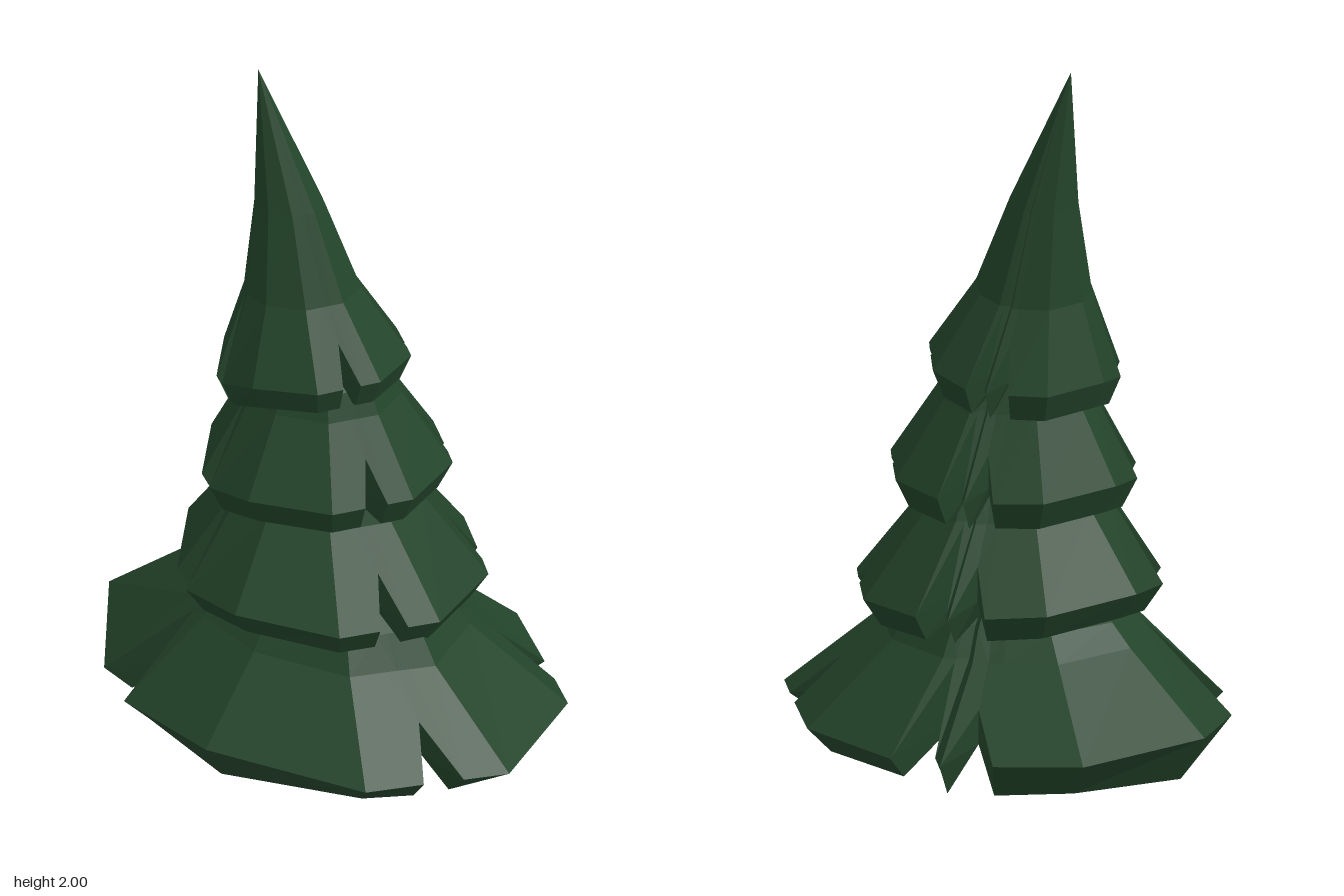
import * as THREE from 'three';

// Rim outline seen from above, [x, z]; a third value marks a notch:
// 0 = cut right up to the shoulder, 1 = no cut
const outline = [
  [-0.26, -0.535], [0.12, -0.57], [0.34, -0.475], [0.38, -0.46, 0.42],
  [0.42, -0.44], [0.53, -0.39], [0.685, -0.03], [0.63, 0.09], [0.605, 0.14, 0.46],
  [0.58, 0.195], [0.51, 0.35], [0.085, 0.565], [-0.27, 0.55], [-0.35, 0.51, 0.04],
  [-0.435, 0.475], [-0.685, 0.23], [-0.68, -0.165], [-0.51, -0.355], [-0.46, -0.41, 0.45],
  [-0.415, -0.47], [-0.335, -0.435], [-0.3, -0.485, 0.04],
].map(([x, z, cut]) => ({ nx: x / 0.685, nz: z / 0.567, cut }));

// Extents are [xMin, xMax, zMin, zMax, y]; tilt is the rim's rise towards +x and +z;
// hollow is the scale and height of the ring inside the skirt
const tiers = [
  { name: 'bottomBranches', rim: [-0.685, 0.685, -0.565, 0.565, 0.1], knee: [-0.42, 0.41, -0.32, 0.35, 0.32],
    tilt: [-0.03, 0.02], drop: 0.085, hollow: [0.3, 0.4] },
  { name: 'lowerBranches', rim: [-0.42, 0.41, -0.415, 0.42, 0.465], knee: [-0.28, 0.22, -0.25, 0.26, 0.7],
    tilt: [-0.02, 0.02], drop: 0.08, hollow: [0.5, 0.43] },
  { name: 'middleBranches', rim: [-0.355, 0.31, -0.33, 0.345, 0.8], knee: [-0.26, 0.17, -0.2, 0.21, 1.02],
    tilt: [0.01, 0.015], drop: 0.085, hollow: [0.5, 0.75] },
  { name: 'topBranches', rim: [-0.325, 0.19, -0.245, 0.28, 1.12], knee: [-0.27, 0.05, -0.13, 0.18, 1.335],
    tilt: [0.03, 0.015], drop: 0.08, hollow: [0.5, 1.07],
    crown: [-0.257, -0.06, -0.06, 0.12, 1.6], tip: [-0.255, 2, 0.06] },
];

// Place a normalised outline point inside an extent
function place([x0, x1, z0, z1, y], { nx, nz }, scale = 1, dy = 0) {
  return new THREE.Vector3(
    (x0 + x1) / 2 + (nx * scale * (x1 - x0)) / 2,
    y + dy,
    (z0 + z1) / 2 + (nz * scale * (z1 - z0)) / 2);
}

// One column of points from the top of a tier, over its rim, to the hollow below
function column(tier, p, i) {
  const { rim, knee, tilt, drop, hollow } = tier;
  const middle = { nx: 0, nz: 0 };
  const rise = p.nx * tilt[0] + p.nz * tilt[1];
  // the corners beside the deep front cleft hang lower
  const droop = 0.06 * Math.max(0, 1 - Math.hypot(p.nx + 0.55, p.nz - 0.88) / 0.5);
  const tip = tier.tip ? new THREE.Vector3(...tier.tip) : place(knee, middle, 1, 0.3);
  const top = tier.crown ? place(tier.crown, p) : place(knee, p, 0.85, 0.08);
  const shoulder = place(knee, p, 1, rise * 0.5);
  let edge = place(rim, p, 1, rise - droop);
  let lip = place(rim, p, 0.88);
  lip.y = tier === tiers[0] ? (i % 2 ? 0 : 0.02) : edge.y - drop;
  if (p.cut !== undefined) {
    edge = shoulder.clone().lerp(edge, p.cut);
    // deep clefts slope inwards and further down
    const deep = p.cut < 0.1;
    lip = edge.clone().lerp(place(knee, middle), deep ? 0.2 : 0);
    lip.y = edge.y - (deep ? 2 * drop : 0.1);
  }
  const inner = place(rim, p, hollow[0]).setY(hollow[1]);
  const under = place(rim, middle).setY(hollow[1] + 0.06);
  return [tip, top, shoulder, edge, lip, inner, under];
}

function buildTier(tier, material) {
  const columns = outline.map((p, i) => column(tier, p, i));
  const pos = [];
  const tri = (...v) => v.forEach((q) => pos.push(q.x, q.y, q.z));
  columns.forEach((a, i) => {
    const b = columns[(i + 1) % columns.length];
    const last = a.length - 2;
    tri(a[0], b[1], a[1]);
    for (let k = 1; k < last; k++) {
      // the diagonal always ends in the notch so that cuts stay crisp
      if (outline[i].cut !== undefined) {
        tri(a[k], b[k], a[k + 1]);
        tri(b[k], b[k + 1], a[k + 1]);
      } else {
        tri(a[k], b[k], b[k + 1]);
        tri(a[k], b[k + 1], a[k + 1]);
      }
    }
    tri(a[last], b[last], a[last + 1]);
  });
  const geometry = new THREE.BufferGeometry();
  geometry.setAttribute('position', new THREE.Float32BufferAttribute(pos, 3));
  geometry.computeVertexNormals();
  const mesh = new THREE.Mesh(geometry, material);
  mesh.name = tier.name;
  return mesh;
}

export function createModel() {
  const tree = new THREE.Group();
  tree.name = 'firTree';
  const needles = new THREE.MeshStandardMaterial({ color: 0x23442a, flatShading: true });
  for (const tier of tiers) tree.add(buildTier(tier, needles));
  return tree;
}
